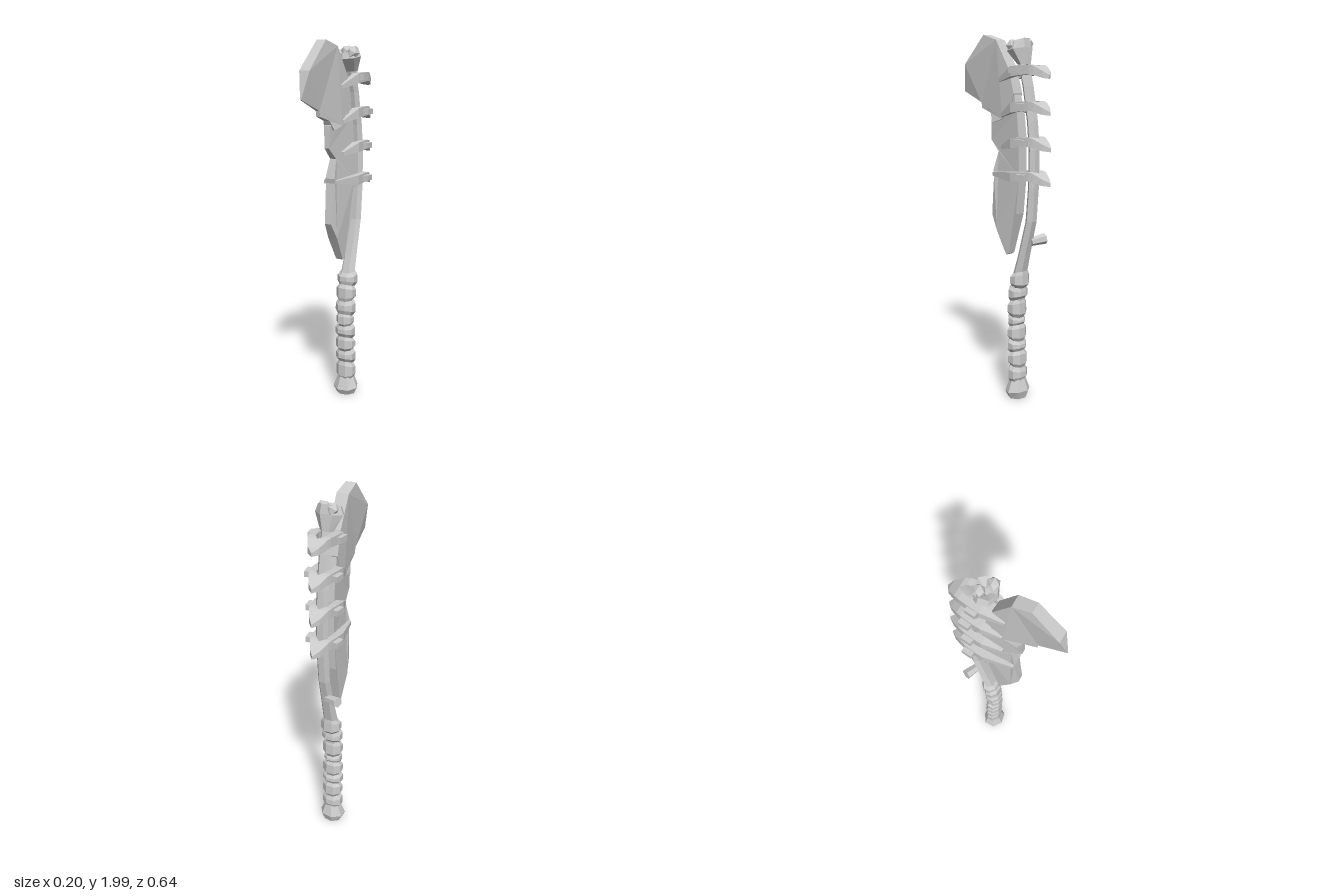
import * as THREE from 'three';

const material = new THREE.MeshStandardMaterial({ color: 0xcccccc, flatShading: true, side: THREE.DoubleSide });

function addMesh(parent, name, points, index) {
  let geo = new THREE.BufferGeometry();
  geo.setAttribute('position', new THREE.Float32BufferAttribute(points.flat(), 3));
  geo.setIndex(index);
  geo = geo.toNonIndexed();
  geo.computeVertexNormals();
  const mesh = new THREE.Mesh(geo, material);
  mesh.name = name;
  parent.add(mesh);
  return mesh;
}

// Skin over a list of equal-sized rings, with flat end caps
function loft(parent, name, rings) {
  const n = rings[0].length, index = [], last = (rings.length - 1) * n;
  for (let r = 0; r < rings.length - 1; r++) {
    for (let i = 0; i < n; i++) {
      const a = r * n + i, b = r * n + (i + 1) % n;
      index.push(a, b, b + n, a, b + n, a + n);
    }
  }
  for (let i = 1; i < n - 1; i++) {
    index.push(0, i + 1, i, last, last + i, last + i + 1);
  }
  return addMesh(parent, name, rings.flat(), index);
}

// Ring around the y axis; tilt raises its front or back
function ring(y, z, rx, rz, sides = 6, tilt = 0, turn = 0) {
  return Array.from({ length: sides }, (_, i) => {
    const a = (i / sides) * Math.PI * 2 + turn;
    return [rx * Math.cos(a), y - tilt * Math.sin(a), z - rz * Math.sin(a)];
  });
}

// Plate in the yz plane; each corner is [z, y, half thickness]
function plate(parent, name, corners, thickness) {
  let pts = corners.map(([z, y, w = thickness]) => ({ v: new THREE.Vector2(-z, y), w }));
  if (THREE.ShapeUtils.isClockWise(pts.map(p => p.v))) pts = pts.reverse();
  const n = pts.length, index = [];
  const verts = [1, -1].flatMap(s => pts.map(p => [s * p.w, p.v.y, -p.v.x]));
  for (const [a, b, c] of THREE.ShapeUtils.triangulateShape(pts.map(p => p.v), [])) {
    index.push(a, b, c, n + a, n + c, n + b);
  }
  for (let i = 0; i < n; i++) {
    const j = (i + 1) % n;
    index.push(n + i, n + j, j, n + i, j, i);
  }
  return addMesh(parent, name, verts, index);
}

export function createModel() {
  const model = new THREE.Group();
  model.name = 'boneAxe';

  // Curved shaft: [y, z, rx, rz]
  loft(model, 'shaft', [
    [0.08, -0.09, 0.04, 0.038], [0.45, -0.082, 0.04, 0.035], [0.7, -0.1, 0.046, 0.035],
    [0.82, -0.133, 0.04, 0.03], [1.02, -0.185, 0.034, 0.028], [1.2, -0.2, 0.034, 0.027],
    [1.4, -0.204, 0.034, 0.027], [1.55, -0.19, 0.034, 0.027], [1.73, -0.158, 0.034, 0.027],
    [1.89, -0.115, 0.034, 0.028]
  ].map(s => ring(...s)));

  // Knob at the foot
  loft(model, 'pommel', [
    ring(0.02, -0.088, 0.03, 0.03, 7), ring(0.008, -0.088, 0.055, 0.05, 7),
    ring(0.045, -0.088, 0.075, 0.065, 7, -0.008), ring(0.12, -0.09, 0.045, 0.042, 7)
  ]);

  // Two-lobed bone end at the top
  loft(model, 'boneEnd', [
    ring(1.84, -0.13, 0.038, 0.034, 7, 0, 0.3), ring(1.915, -0.1, 0.075, 0.062, 7, -0.012, 0.3),
    ring(1.955, -0.098, 0.06, 0.055, 7, -0.02, 0.3), ring(1.925, -0.098, 0.02, 0.02, 7, 0, 0.3)
  ]);
  for (const [x, y, z] of [[-0.025, 1.945, -0.125], [0.04, 1.935, -0.085]]) {
    const lobe = new THREE.Mesh(new THREE.IcosahedronGeometry(0.036, 0), material);
    lobe.name = 'boneEndLobe';
    lobe.position.set(x, y, z);
    model.add(lobe);
  }

  // Bulging grip wraps with alternating tilt
  const cuts = [0.1, 0.195, 0.275, 0.345, 0.425, 0.48, 0.57, 0.65, 0.73];
  const centres = [-0.09, -0.088, -0.085, -0.082, -0.08, -0.08, -0.085, -0.095, -0.108];
  for (let i = 0; i < cuts.length - 1; i++) {
    const y0 = cuts[i], y1 = cuts[i + 1], h = y1 - y0, z0 = centres[i], z1 = centres[i + 1];
    const tilt = i % 2 ? 0.009 : -0.009, r = h < 0.06 ? 0.052 : 0.06, zm = (z0 + z1) / 2;
    loft(model, 'gripWrap', [
      ring(y0, z0, 0.045, 0.037, 8, tilt, 0.39), ring(y0 + h * 0.25, zm, r, 0.048, 8, tilt, 0.39),
      ring(y0 + h * 0.75, zm, r, 0.046, 8, -tilt, 0.39), ring(y1, z1, 0.045, 0.037, 8, -tilt, 0.39)
    ]);
  }

  // Broken twig on the back right of the shaft
  const twig = new THREE.Mesh(new THREE.CylinderGeometry(0.03, 0.022, 0.085, 6), material);
  twig.name = 'twigStub';
  twig.position.set(-0.05, 0.91, -0.19);
  twig.quaternion.setFromUnitVectors(new THREE.Vector3(0, 1, 0), new THREE.Vector3(-0.9, 0.15, -0.35).normalize());
  model.add(twig);

  // Axe head, sharpened towards the front corner
  plate(model, 'axeHead', [
    [0.145, 2, 0.029], [0.045, 1.97], [-0.05, 1.815], [-0.085, 1.69], [-0.06, 1.62],
    [-0.025, 1.605], [0, 1.555], [0.075, 1.535], [0.1, 1.585, 0.02], [0.175, 1.61, 0.012],
    [0.18, 1.64, 0.012], [0.325, 1.7, 0.003], [0.29, 1.845]
  ], 0.033);

  // Long backing blade below the head
  plate(model, 'backingBlade', [
    [-0.05, 1.81, 0.02], [-0.105, 1.6], [-0.122, 1.45], [-0.122, 1.25], [-0.102, 1.05],
    [-0.04, 0.825, 0.022], [-0.02, 0.815, 0.022], [0.045, 0.945], [0.09, 1.03, 0.02],
    [0.065, 1.25], [0.07, 1.275], [0.04, 1.38, 0.02], [0.1, 1.44, 0.014],
    [0.095, 1.56, 0.02], [0, 1.6, 0.028]
  ], 0.03);

  // Rib claws clamp blade to shaft: [y, front z, front drop, peg z, tip z]
  const claws = [
    [1.81, 0.015, -0.05, -0.135, -0.305], [1.625, 0, -0.05, -0.18, -0.312],
    [1.44, 0, -0.035, -0.175, -0.32], [1.26, 0.065, -0.003, -0.18, -0.318]
  ];
  for (const [y, zf, drop, zp, tip] of claws) {
    const claw = new THREE.Group();
    claw.name = 'ribClaw';
    claw.position.y = y;
    model.add(claw);
    const sections = [
      [zf, 0.026, 0.042, drop - 0.01, drop + 0.01], [-0.1, 0.03, 0.073, -0.032, 0.02],
      [-0.16, 0.032, 0.069, -0.025, 0.025], [-0.215, 0.022, 0.06, -0.02, 0.027],
      [-0.24, 0, 0.052, -0.025, 0.022], [-0.285, 0, 0.03, -0.04, -0.005],
      [tip, 0, 0.002, -0.045, -0.025]
    ];
    for (const s of [1, -1]) {
      const side = (r) => (s > 0 ? r : r.reverse());
      loft(claw, 'clawSide', sections.map(([z, xi, xo, yb, yt]) =>
        side([[s * xo, yb, z], [s * xi, yb, z], [s * xi, yt, z], [s * xo, yt, z]])));
      // Peg through the claw
      const peg = new THREE.Mesh(new THREE.BoxGeometry(0.05, 0.03, 0.06), material);
      peg.name = 'clawPeg';
      peg.position.set(s * 0.069, 0, zp);
      peg.rotation.y = s * 0.12;
      claw.add(peg);
    }
  }
  return model;
}
